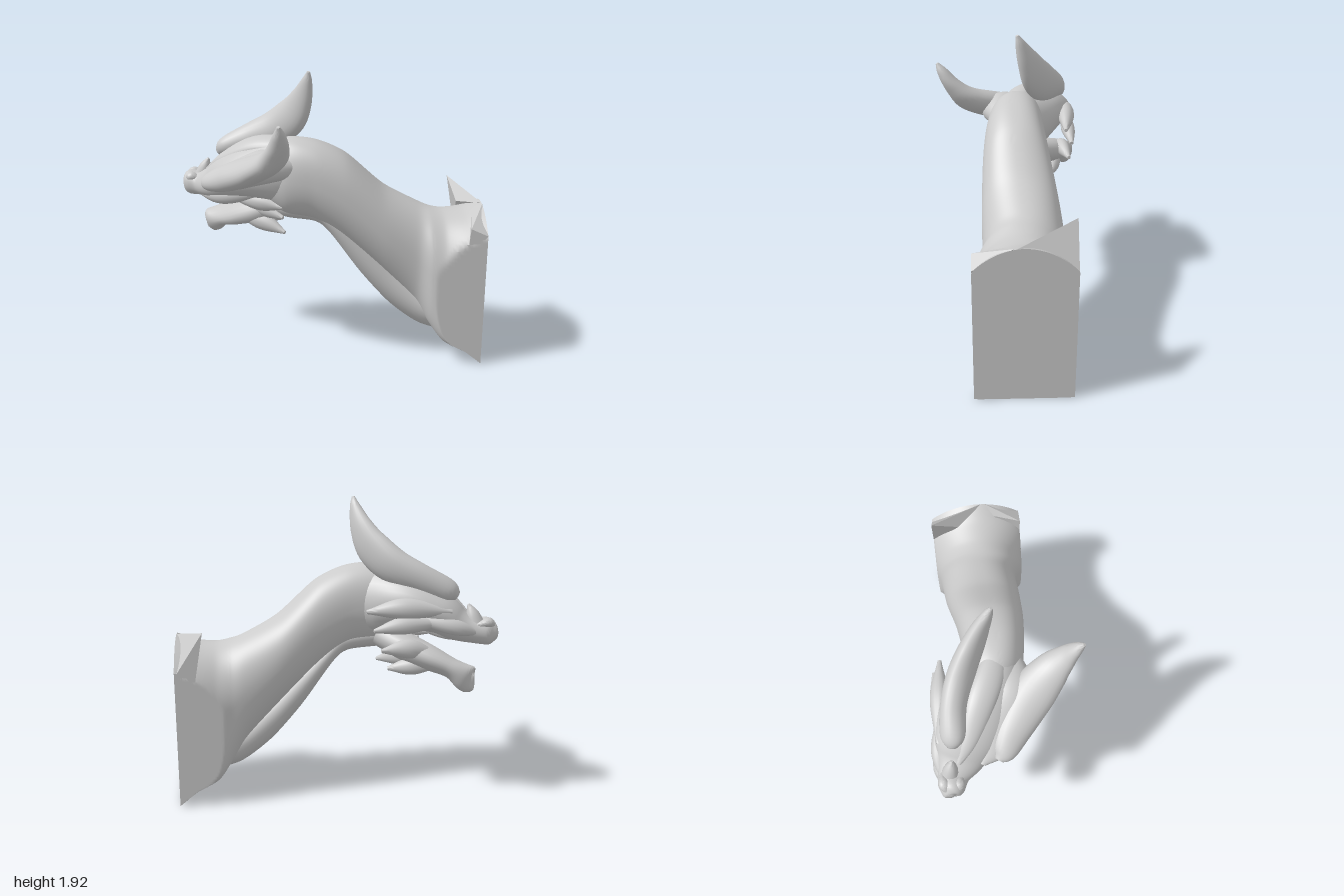
import * as THREE from 'three';
import { toCreasedNormals } from 'three/addons/utils/BufferGeometryUtils.js';
import { ConvexGeometry } from 'three/addons/geometries/ConvexGeometry.js';

const V = (x, y, z) => new THREE.Vector3(x, y, z);
const HEAD_UP = V(0.05, 0.94, 0.32).normalize();
const material = new THREE.MeshStandardMaterial({ color: 0xcccccc });

// Skin a list of equal-sized rings, closing both ends on their centres.
function skin(rings, crease) {
  const n = rings[0].length, pos = [], index = [];
  const middle = r => r.reduce((s, p) => s.add(p), V(0, 0, 0)).divideScalar(n);
  rings.forEach(r => r.forEach(p => pos.push(p.x, p.y, p.z)));
  const first = rings.length * n, last = first + 1, lastRing = first - n;
  [middle(rings[0]), middle(rings[rings.length - 1])].forEach(p => pos.push(p.x, p.y, p.z));
  for (let j = 0; j < n; j++) {
    const k = (j + 1) % n;
    for (let i = 0; i < lastRing; i += n) index.push(i + j, i + n + j, i + k, i + k, i + n + j, i + n + k);
    index.push(first, j, k, last, lastRing + k, lastRing + j);
  }
  const g = new THREE.BufferGeometry();
  g.setAttribute('position', new THREE.Float32BufferAttribute(pos, 3));
  g.setIndex(index);
  return toCreasedNormals(g, crease);
}

// Elliptical limb along a curve; rows are [x, y, z, half width, half height].
function limb(rows, steps = 28, sides = 24, up = HEAD_UP) {
  const path = new THREE.CatmullRomCurve3(rows.map(r => V(r[0], r[1], r[2])), false, 'catmullrom');
  const size = new THREE.CatmullRomCurve3(rows.map(r => V(r[3], r[4] ?? r[3], 0)), false, 'catmullrom');
  const rings = [];
  for (let i = 0; i <= steps; i++) {
    const t = i / steps, c = path.getPoint(t), T = path.getTangent(t), s = size.getPoint(t);
    const S = T.clone().cross(up).normalize(), U = S.clone().cross(T);
    rings.push(Array.from({ length: sides }, (_, j) => {
      const a = j / sides * Math.PI * 2;
      return c.clone().addScaledVector(S, Math.max(s.x, 0.003) * Math.cos(a))
        .addScaledVector(U, Math.max(s.y, 0.003) * Math.sin(a));
    }));
  }
  return skin(rings, 1.0);
}

// Upright sections along x; rows are [x, top, bottom, zMin, zMax, lower squareness, upper squareness].
function trunk(rows, steps = 72, sides = 96) {
  const curve = f => new THREE.CatmullRomCurve3(rows.map(f), false, 'catmullrom', 0.4);
  const A = curve(r => V(r[0], r[1], r[2])), B = curve(r => V(r[3], r[4], 0));
  const C = curve(r => V(r[5], r[6], 0));
  const rings = [];
  for (let i = 0; i <= steps; i++) {
    const t = i / steps, p = A.getPoint(t), q = B.getPoint(t), n = C.getPoint(t);
    const cy = (p.y + p.z) / 2, h = (p.y - p.z) / 2, cz = (q.x + q.y) / 2, w = (q.y - q.x) / 2;
    rings.push(Array.from({ length: sides }, (_, j) => {
      const a = j / sides * Math.PI * 2, c = Math.cos(a), s = Math.sin(a);
      const e = 2 / (s < 0 ? n.x : n.y);
      const z = cz + w * Math.sign(c) * Math.abs(c) ** e;
      const y = cy + h * Math.sign(s) * Math.abs(s) ** e;
      return V(p.x, y, THREE.MathUtils.clamp(z, -0.35, 0.26)); // flat cut sides
    }));
  }
  return skin(rings, 0.6);
}

export function createModel() {
  const model = new THREE.Group();
  model.name = 'hornedCreatureBust';
  const add = (name, geometry) => {
    const m = new THREE.Mesh(geometry, material);
    m.name = name;
    model.add(m);
  };

  // Neck, flaring into the flat-cut shoulder
  add('neck', trunk([
    [-0.5, 1.38, 1.12, -0.24, -0.02, 2, 2],
    [-0.3, 1.5, 1.0, -0.22, 0.13, 2, 2.2],
    [-0.1, 1.49, 0.96, -0.22, 0.17, 2, 2.4],
    [0.1, 1.4, 0.83, -0.245, 0.19, 2, 2.4],
    [0.35, 1.18, 0.6, -0.295, 0.2, 2, 2.3],
    [0.57, 1.06, 0.37, -0.32, 0.2, 2.4, 2.2],
    [0.66, 1.025, 0.25, -0.335, 0.25, 4, 2.1],
    [0.75, 1.01, 0.15, -0.37, 0.285, 7, 2],
    [0.88, 1.02, 0.1, -0.44, 0.36, 8, 2],
    [1.0, 1.06, 0.01, -0.49, 0.41, 8, 1.9],
  ]));
  // Band running down the underside of the neck
  add('throatBand', trunk([
    [-0.48, 1.12, 1.02, -0.23, -0.12, 2, 2],
    [-0.3, 1.13, 0.965, -0.16, 0.03, 2, 2],
    [-0.1, 1.1, 0.94, -0.16, 0.07, 2, 2],
    [0.0, 1.05, 0.86, -0.17, 0.09, 2, 2],
    [0.2, 0.86, 0.58, -0.19, 0.1, 2, 2],
    [0.4, 0.66, 0.35, -0.2, 0.11, 2, 2],
    [0.6, 0.5, 0.2, -0.22, 0.13, 2, 2],
    [0.8, 0.45, 0.14, -0.24, 0.16, 2, 2],
  ], 40, 32));
  // Angular rims of the cut
  add('rightShoulderRim', new ConvexGeometry([
    V(0.82, 1.15, -0.35), V(1, 0.87, -0.35), V(1, 1.06, 0), V(0.88, 0.8, -0.35), V(0.86, 1.02, -0.17)]));
  add('leftShoulderRim', new ConvexGeometry([
    V(1, 1.06, 0.02), V(1, 0.92, 0.26), V(0.89, 0.97, 0.26), V(0.92, 1.02, 0.08), V(0.87, 0.75, 0.26)]));

  // Skull tapering to the snout, turned and tilted to the creature's right
  add('skull', limb([
    [-0.08, 1.23, -0.03, 0.13, 0.2],
    [-0.28, 1.27, -0.06, 0.19, 0.22],
    [-0.48, 1.27, -0.15, 0.23, 0.18],
    [-0.65, 1.22, -0.23, 0.21, 0.14],
    [-0.77, 1.15, -0.29, 0.155, 0.105],
    [-0.87, 1.12, -0.34, 0.1, 0.08],
    [-0.95, 1.12, -0.36, 0.08, 0.085],
    [-0.985, 1.12, -0.37, 0.05, 0.06],
    [-1.0, 1.12, -0.37, 0.02, 0.03],
  ], 48, 32));
  add('browRidge', limb([
    [-0.82, 1.22, -0.3, 0.02, 0.02], [-0.7, 1.32, -0.22, 0.06, 0.04],
    [-0.5, 1.43, -0.13, 0.09, 0.05], [-0.3, 1.45, -0.04, 0.08, 0.05], [-0.1, 1.42, 0, 0.03, 0.03]]));
  // Broad shelf joining the left horn to the head
  add('leftTemple', limb([
    [-0.83, 1.17, -0.16, 0.02], [-0.72, 1.22, -0.08, 0.12, 0.06], [-0.55, 1.29, 0, 0.16, 0.09],
    [-0.4, 1.34, 0.07, 0.13, 0.1], [-0.2, 1.32, 0.08, 0.04, 0.06]]));

  // Nostril flares and the small spike on the nose
  add('leftNostril', limb([[-0.98, 1.13, -0.33, 0.01], [-0.94, 1.17, -0.31, 0.035, 0.03], [-0.87, 1.15, -0.3, 0.01]]));
  add('rightNostril', limb([[-0.98, 1.15, -0.38, 0.01], [-0.93, 1.18, -0.4, 0.035, 0.03], [-0.86, 1.17, -0.41, 0.01]]));
  add('noseSpike', limb([[-0.87, 1.15, -0.36, 0.06], [-0.845, 1.23, -0.35, 0.04], [-0.82, 1.29, -0.34, 0.008]],
    12, 14, V(1, 0, 0)));

  // Broad, leaf-like horns
  add('leftHorn', limb([
    [-0.82, 1.2, -0.06, 0.03], [-0.77, 1.22, -0.02, 0.08, 0.06], [-0.64, 1.27, 0.05, 0.12, 0.085],
    [-0.48, 1.35, 0.17, 0.14, 0.085], [-0.37, 1.43, 0.29, 0.115, 0.075],
    [-0.325, 1.53, 0.38, 0.075, 0.055], [-0.312, 1.63, 0.445, 0.04, 0.035], [-0.315, 1.69, 0.48, 0.01]], 40));
  add('rightHorn', limb([
    [-0.75, 1.34, -0.33, 0.03], [-0.69, 1.375, -0.32, 0.075, 0.07], [-0.52, 1.45, -0.295, 0.075, 0.095],
    [-0.36, 1.52, -0.235, 0.075, 0.12], [-0.245, 1.62, -0.165, 0.065, 0.12],
    [-0.18, 1.74, -0.11, 0.05, 0.085], [-0.145, 1.86, -0.06, 0.03, 0.04], [-0.135, 1.925, -0.035, 0.01]],
    40, 24, V(-0.7, 1, -0.7)));

  // Open lower jaw with a deep, angular chin
  add('lowerJaw', limb([
    [-0.3, 1.06, -0.13, 0.1, 0.08], [-0.46, 0.99, -0.22, 0.15, 0.09],
    [-0.6, 0.935, -0.3, 0.15, 0.08], [-0.72, 0.885, -0.36, 0.115, 0.065],
    [-0.8, 0.835, -0.4, 0.08, 0.085], [-0.835, 0.82, -0.42, 0.045, 0.08],
    [-0.85, 0.82, -0.43, 0.015, 0.04]], 40));

  // Lips, cheek ridges and swept-back frill spikes: [name, start, middle, tip, thickness]
  [
    ['leftLip', [-0.9, 1.07, -0.3], [-0.7, 1.08, -0.14], [-0.34, 1.18, 0.05], 0.055],
    ['rightLip', [-0.88, 1.12, -0.41], [-0.7, 1.17, -0.42], [-0.42, 1.22, -0.36], 0.05],
    ['leftCheekSpike', [-0.64, 1.07, -0.14], [-0.46, 1.07, -0.04], [-0.31, 1.055, 0.05], 0.06],
    ['leftJawSpike', [-0.66, 0.94, -0.27], [-0.46, 0.91, -0.13], [-0.3, 0.86, -0.02], 0.065],
    ['leftMiddleSpike', [-0.55, 1.03, -0.15], [-0.42, 1.0, -0.08], [-0.31, 0.97, 0], 0.05],
    ['rightEar', [-0.7, 1.26, -0.41], [-0.42, 1.28, -0.385], [-0.18, 1.26, -0.365], 0.065],
    ['rightCheekSpike', [-0.66, 1.19, -0.4], [-0.42, 1.18, -0.4], [-0.22, 1.15, -0.41], 0.055],
    ['rightJawSpike', [-0.62, 0.98, -0.36], [-0.45, 1.02, -0.37], [-0.27, 1.02, -0.4], 0.06],
    ['chinSpike', [-0.66, 0.91, -0.35], [-0.48, 0.89, -0.31], [-0.33, 0.87, -0.28], 0.055],
  ].forEach(([name, a, b, c, r]) =>
    add(name, limb([[...a, 0.015], [...b, r * 0.85, r], [...c, 0.012]], 20, 16)));

  return model;
}
